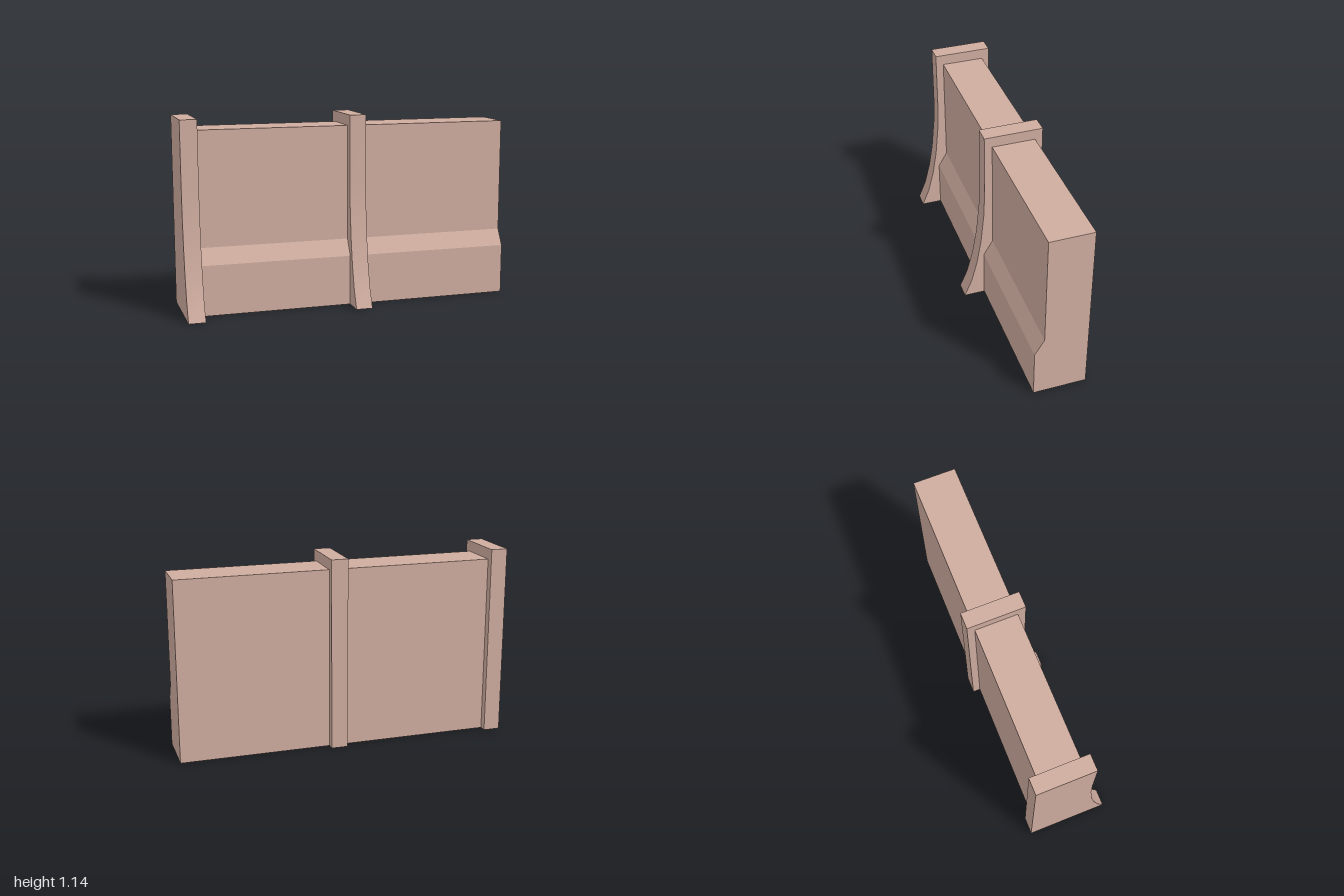
import * as THREE from 'three';
import { mergeGeometries } from 'three/addons/utils/BufferGeometryUtils.js';

// Strip along x over a run of [z, y] points, smooth within the run
function strip(run, x0, x1) {
  const pos = [], index = [];
  run.forEach(([z, y], i) => {
    pos.push(x0, y, z, x1, y, z);
    if (i > 0) {
      const a = 2 * i - 2;
      index.push(a, a + 1, a + 3, a, a + 3, a + 2);
    }
  });
  const g = new THREE.BufferGeometry();
  g.setAttribute('position', new THREE.Float32BufferAttribute(pos, 3));
  g.setIndex(index);
  g.computeVertexNormals();
  return g;
}

// Flat side of a profile at x, facing side (+1 or -1)
function cap(points, x, side) {
  const shape = new THREE.Shape(points.map(([z, y]) => new THREE.Vector2(-side * z, y)));
  const g = new THREE.ShapeGeometry(shape);
  g.rotateY(side * Math.PI / 2);
  g.translate(x, 0, 0);
  g.deleteAttribute('uv');
  return g;
}

// Hollow body, open underneath, from runs separated by sharp edges
function body(runs, x0, x1, capLeft, capRight) {
  const parts = runs.map((run) => strip(run, x0, x1));
  const outline = runs.flatMap((run, i) => (i ? run.slice(1) : run));
  if (capLeft) parts.push(cap(outline, x1, 1));
  if (capRight) parts.push(cap(outline, x0, -1));
  return mergeGeometries(parts);
}

export function createModel() {
  const model = new THREE.Group();
  model.name = 'buttressedWall';
  const stone = new THREE.MeshStandardMaterial({ color: 0xd0ada0, side: THREE.DoubleSide });
  stone.name = 'dusty pink stone';

  const add = (name, geometry) => {
    const mesh = new THREE.Mesh(geometry, stone);
    mesh.name = name;
    model.add(mesh);
  };

  // Wall panels with a sloped plinth along the front
  const w = [[0.118, 0], [0.118, 0.3], [0.062, 0.395], [0.062, 1.08], [-0.198, 1.08], [-0.198, 0]];
  const wallRuns = w.slice(1).map((p, i) => [w[i], p]);
  add('wallPanelRight', body(wallRuns, -0.9, 0, false, false));
  add('wallPanelLeft', body(wallRuns, 0.1, 1, true, false));

  // Buttresses with a flared, curved front
  const buttressRuns = [
    [[0.245, 0], [0.199, 0.11], [0.162, 0.25], [0.135, 0.41], [0.116, 0.6], [0.109, 0.78], [0.109, 1.145]],
    [[0.109, 1.145], [-0.243, 1.145]],
    [[-0.243, 1.145], [-0.243, 0]],
  ];
  add('buttressEnd', body(buttressRuns, -1, -0.9, true, true));
  add('buttressMiddle', body(buttressRuns, 0, 0.1, true, true));

  return model;
}
